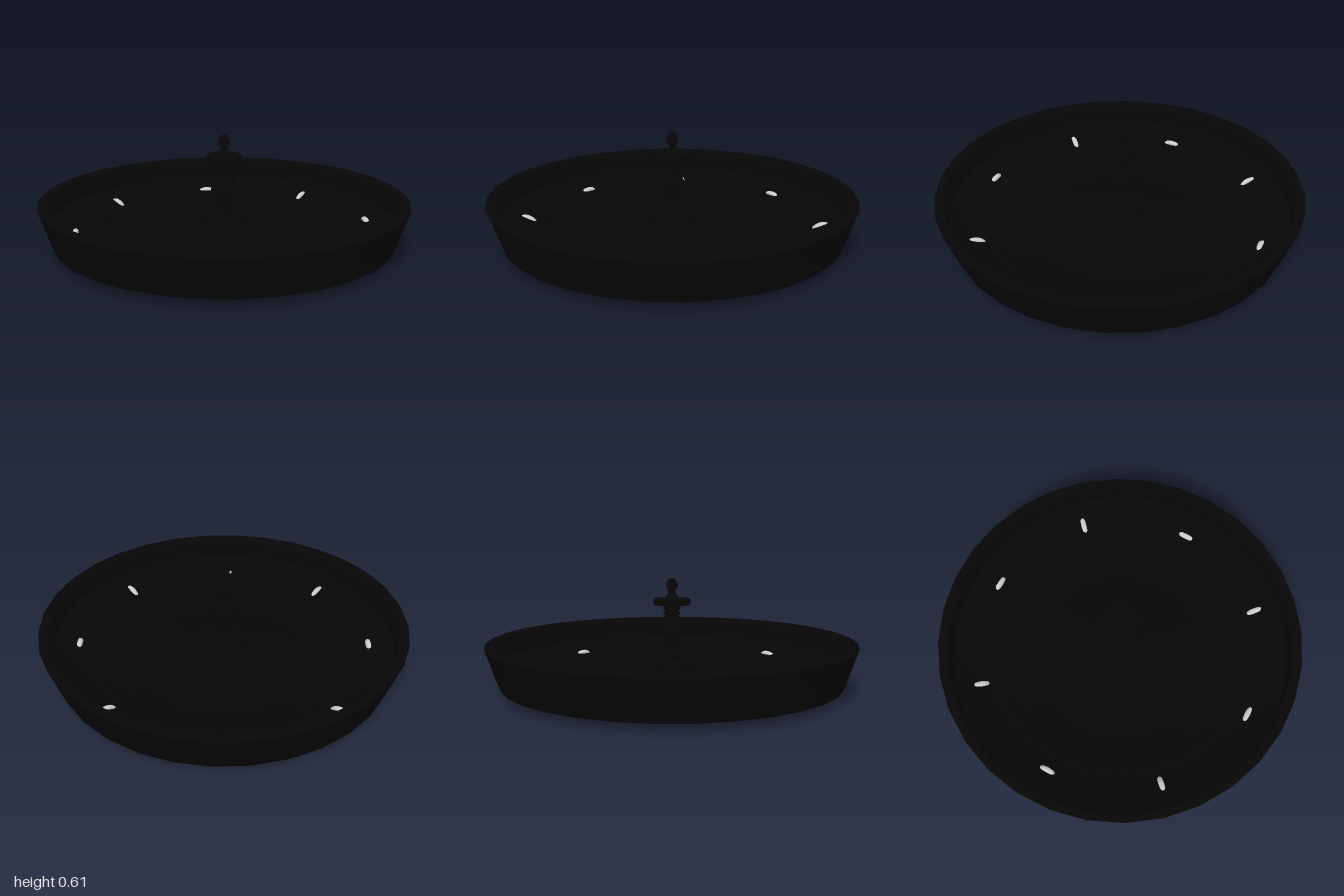
import * as THREE from 'three';
import { toCreasedNormals } from 'three/addons/utils/BufferGeometryUtils.js';

const dark = new THREE.MeshStandardMaterial({ color: 0x060606 });
const grey = new THREE.MeshStandardMaterial({ color: 0xcccccc });

// Turned thin wall: dark outer face, and a grey lining set slightly inside it
function shell(name, profile, segments, crease = 0.6) {
  const wall = 0.003;
  const points = profile.map(([r, y]) => new THREE.Vector2(r, y));
  const last = points.length - 1;
  const lining = points.map((p, i) => {
    if (i === 0 || i === last) return p;
    const along = points[i + 1].clone().sub(points[i - 1]).normalize();
    return new THREE.Vector2(Math.max(p.x - along.y * wall, 0), p.y + along.x * wall);
  }).reverse();
  const turn = (path) => toCreasedNormals(new THREE.LatheGeometry(path, segments), crease);
  const group = new THREE.Group();
  group.name = name;
  const outer = new THREE.Mesh(turn(points), dark);
  outer.name = name + 'Outside';
  const inner = new THREE.Mesh(turn(lining), grey);
  inner.name = name + 'Lining';
  group.add(outer, inner);
  return group;
}

// Bar along a radius between two profile points, its centre lifted off the line
function radialBar(name, angle, [r0, y0], [r1, y1], width, height, lift, material) {
  const mesh = new THREE.Mesh(
    new THREE.BoxGeometry(Math.hypot(r1 - r0, y1 - y0), height, width), material);
  mesh.name = name;
  mesh.position.set((r0 + r1) / 2, (y0 + y1) / 2 + lift, 0);
  mesh.rotation.z = Math.atan2(y1 - y0, r1 - r0);
  const spoke = new THREE.Group();
  spoke.name = name + 'Holder';
  spoke.rotation.y = angle;
  spoke.add(mesh);
  return spoke;
}

export function createModel() {
  const model = new THREE.Group();
  model.name = 'rouletteWheel';

  // Bowl: flared wall, rounded rim and sloping ball track, open underneath
  model.add(shell('bowl', [
    [0.925, 0.045], [0.994, 0.248], [1.0, 0.258], [0.995, 0.268], [0.983, 0.272],
    [0.958, 0.27], [0.946, 0.26], [0.94, 0.245], [0.935, 0.15],
    [0.9, 0.135], [0.74, 0.072], [0.725, 0.07], [0.722, 0.045],
  ], 32));

  // Spinning wheel: number band, pocket band and cone in one sheet, then the hub step
  const pockets = 38;
  model.add(shell('wheel', [
    [0.735, 0.045], [0.72, 0.06], [0.705, 0.055], [0.62, 0.034],
    [0.485, 0.004], [0.48, 0.015], [0.13, 0.12],
  ], pockets, 0.18));
  model.add(shell('hub', [
    [0.13, 0.12], [0.132, 0.135], [0.125, 0.155], [0.1, 0.165], [0.055, 0.17],
  ], 32));

  // Frets between pockets and numbers, with low ribs underneath
  for (let i = 0; i < pockets; i++) {
    const angle = (i / pockets) * Math.PI * 2;
    model.add(radialBar('pocketFret', angle, [0.49, 0.005], [0.615, 0.033], 0.006, 0.014, 0.008, dark));
    model.add(radialBar('numberDivider', angle, [0.62, 0.034], [0.71, 0.056], 0.006, 0.008, 0.005, dark));
    model.add(radialBar('pocketRib', angle, [0.49, 0.005], [0.615, 0.033], 0.005, 0.004, -0.003, grey));
    model.add(radialBar('numberRib', angle, [0.625, 0.035], [0.7, 0.054], 0.005, 0.004, -0.003, grey));
  }

  // Turned spindle with skirt, collars, wide disc and finial
  model.add(shell('spindle', [
    [0.055, 0.165], [0.058, 0.19], [0.042, 0.205], [0.035, 0.24], [0.035, 0.285],
    [0.045, 0.297], [0.072, 0.303], [0.07, 0.315], [0.053, 0.36], [0.035, 0.405],
    [0.045, 0.412], [0.045, 0.422], [0.036, 0.428], [0.046, 0.436], [0.046, 0.448],
    [0.045, 0.457], [0.06, 0.461], [0.095, 0.462], [0.1, 0.467], [0.1, 0.491], [0.095, 0.496],
    [0.06, 0.497], [0.038, 0.505], [0.02, 0.522], [0.018, 0.535], [0.03, 0.55],
    [0.024, 0.556], [0.033, 0.565], [0.032, 0.576], [0.025, 0.58], [0.023, 0.593],
    [0.014, 0.604], [0, 0.606],
  ], 24));

  // Eight arched ball deflectors, alternately radial and tangential
  const ends = [new THREE.Vector3(-0.046, -0.026, 0), new THREE.Vector3(0.046, -0.026, 0)];
  const arch = new THREE.CatmullRomCurve3([
    ends[0], new THREE.Vector3(-0.03, -0.008, 0), new THREE.Vector3(0, 0, 0),
    new THREE.Vector3(0.03, -0.008, 0), ends[1],
  ]);
  const archGeometry = new THREE.TubeGeometry(arch, 16, 0.016, 10);
  const endGeometry = new THREE.SphereGeometry(0.0165, 10, 8);
  for (let i = 0; i < 8; i++) {
    const arm = new THREE.Group();
    arm.name = 'deflectorHolder';
    arm.rotation.y = 0.25 + (i * Math.PI) / 4;
    const tilt = new THREE.Group();
    tilt.name = 'deflectorTilt';
    tilt.position.set(0.805, 0.098, 0);
    tilt.rotation.z = 0.375;
    const deflector = new THREE.Group();
    deflector.name = 'ballDeflector';
    if (i % 2) deflector.rotation.y = Math.PI / 2;
    const body = new THREE.Mesh(archGeometry, grey);
    body.name = 'deflectorArch';
    deflector.add(body);
    for (const end of ends) {
      const cap = new THREE.Mesh(endGeometry, grey);
      cap.name = 'deflectorEnd';
      cap.position.copy(end);
      deflector.add(cap);
    }
    tilt.add(deflector);
    arm.add(tilt);
    model.add(arm);
  }
  return model;
}
